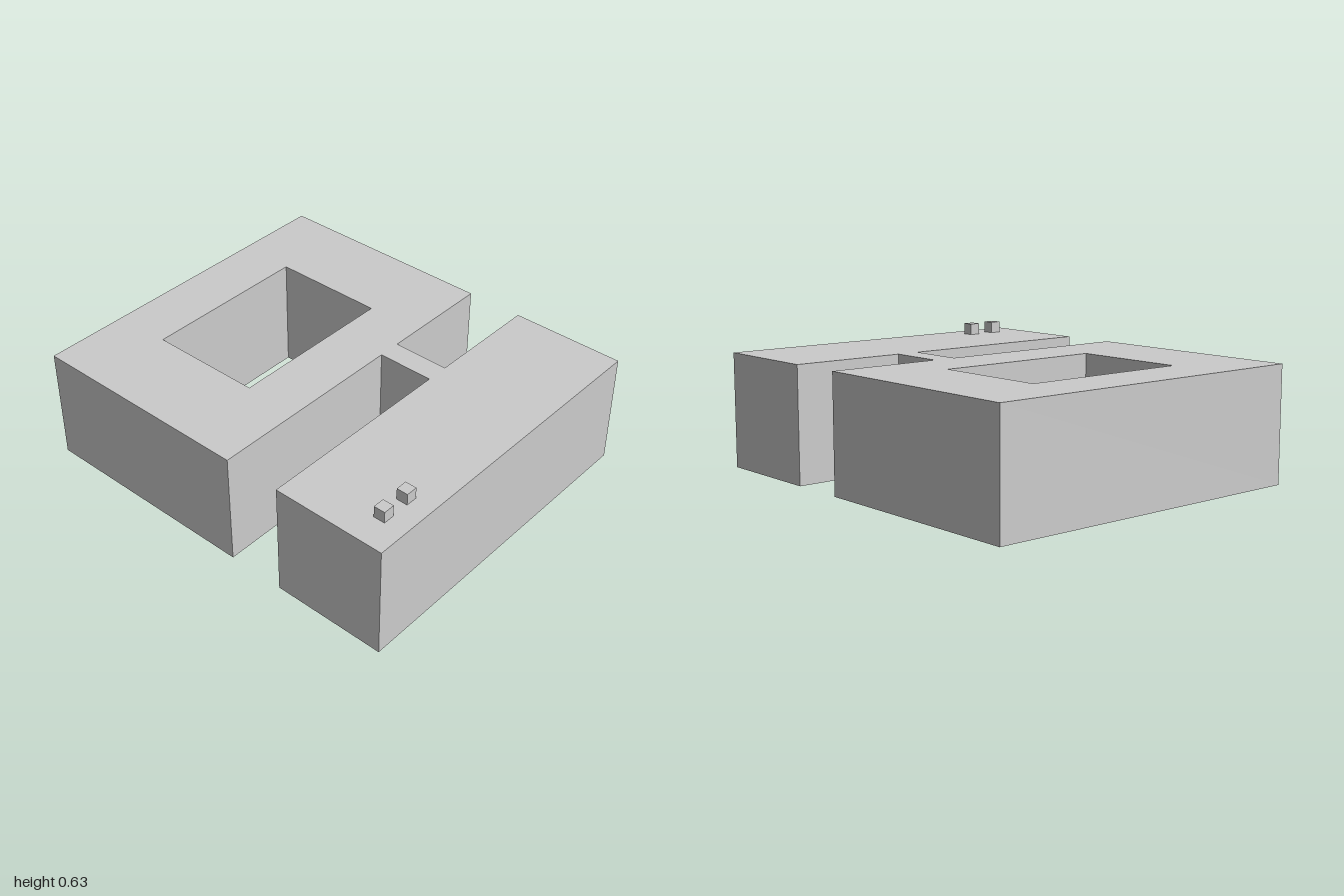
import * as THREE from 'three';

const HEIGHT = 0.5714;

// Outline corners are [x, z] on the ground plane
const toPoints = (corners) => corners.map(([x, z]) => new THREE.Vector2(x, -z));

export function createModel() {
  const group = new THREE.Group();
  const material = new THREE.MeshStandardMaterial({ color: 0xcccccc, flatShading: true });
  const add = (name, geometry) => {
    const mesh = new THREE.Mesh(geometry, material);
    mesh.name = name;
    group.add(mesh);
    return mesh;
  };

  // Courtyard block, narrow bridge and front block as one continuous body
  const w = 0.857, bridgeLeft = 0.28, bridgeRight = 0.165;
  const backEdge = 0.143, frontEdge = 0.4286;
  const outline = new THREE.Shape(toPoints([
    [-w, 1], [w, 1], [w, frontEdge], [bridgeLeft, frontEdge],
    [bridgeLeft, backEdge], [w, backEdge], [w, -1], [-w, -1],
    [-w, backEdge], [bridgeRight, backEdge], [bridgeRight, frontEdge], [-w, frontEdge],
  ]));
  // Open courtyard
  outline.holes.push(new THREE.Path(toPoints([
    [-0.4286, -0.143], [-0.4286, -0.714], [0.4286, -0.714], [0.4286, -0.143],
  ])));
  const body = new THREE.ExtrudeGeometry(outline, { depth: HEIGHT, bevelEnabled: false });
  body.rotateX(-Math.PI / 2);
  add('buildingBody', body);

  // Two small roof boxes
  const size = 0.0571;
  [-0.686, -0.541].forEach((x, i) => {
    add(`roofBox${i + 1}`, new THREE.BoxGeometry(size, size, size))
      .position.set(x, HEIGHT + size / 2, 0.868);
  });

  return group;
}
